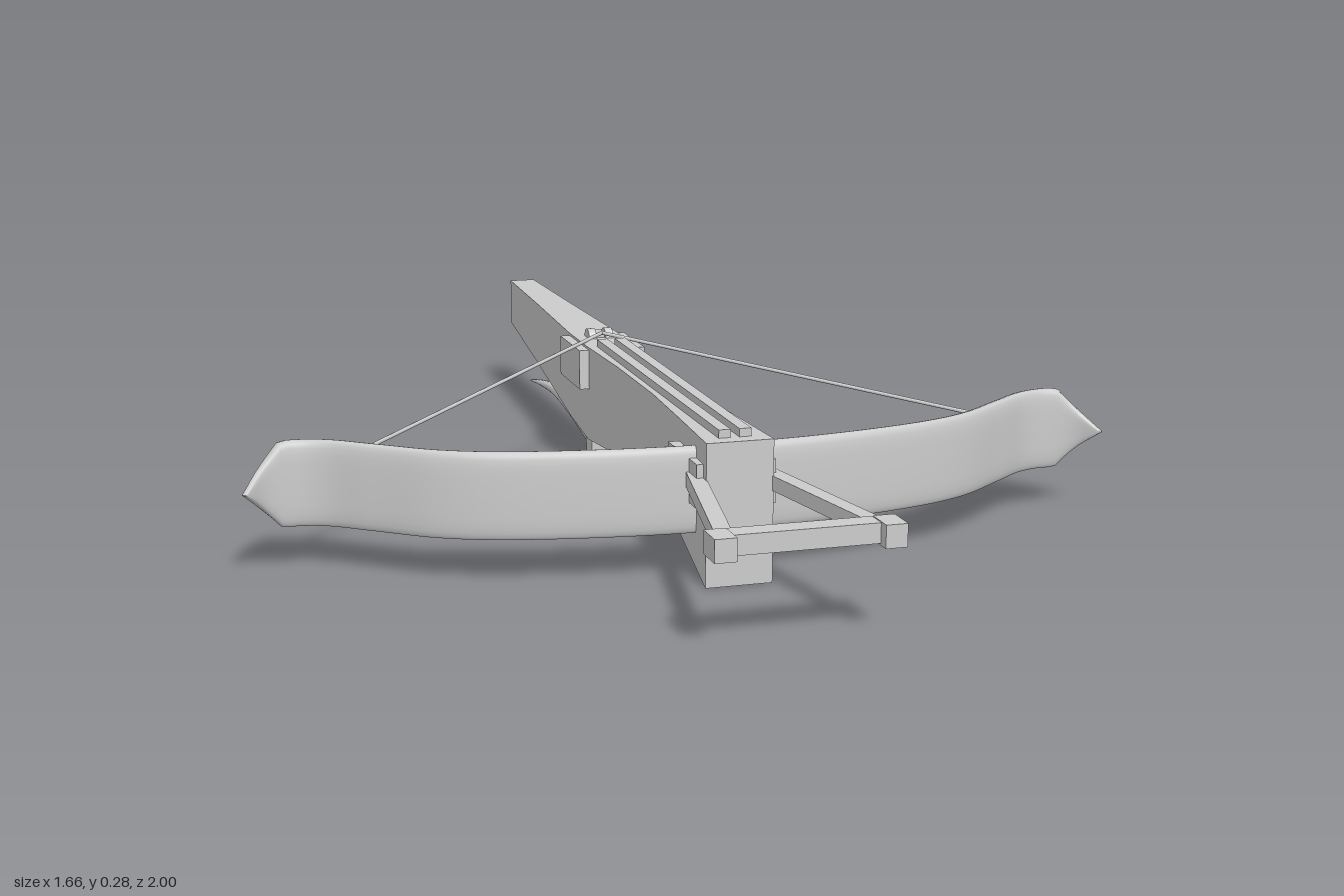
import * as THREE from 'three';

const grey = new THREE.MeshStandardMaterial({ color: 0xcccccc, side: THREE.DoubleSide });

function add(parent, name, geometry) {
  const mesh = new THREE.Mesh(geometry, grey);
  mesh.name = name;
  parent.add(mesh);
  return mesh;
}

// Box given by its min and max corners
function box(parent, name, [x0, y0, z0], [x1, y1, z1]) {
  const mesh = add(parent, name, new THREE.BoxGeometry(x1 - x0, y1 - y0, z1 - z0));
  mesh.position.set((x0 + x1) / 2, (y0 + y1) / 2, (z0 + z1) / 2);
  return mesh;
}

// Skin over rings of points, each counter-clockwise seen against the travel direction
function loft(rings, flat) {
  const n = rings[0].length, last = (rings.length - 1) * n, index = [];
  for (let i = 0; i < rings.length - 1; i++) {
    for (let j = 0; j < n; j++) {
      const a = i * n + j, b = i * n + (j + 1) % n;
      index.push(a, b, b + n, a, b + n, a + n);
    }
  }
  for (let j = 1; j < n - 1; j++) {
    index.push(0, j + 1, j, last, last + j, last + j + 1);
  }
  let geometry = new THREE.BufferGeometry().setFromPoints(rings.flat());
  geometry.setIndex(index);
  if (flat) geometry = geometry.toNonIndexed();
  geometry.computeVertexNormals();
  return geometry;
}

// Rounded rectangle outline as [u, v] pairs
function roundedOutline(halfU, halfV, power, n) {
  const soften = (c) => Math.sign(c) * Math.abs(c) ** power;
  return Array.from({ length: n }, (_, k) => {
    const a = (k / n) * Math.PI * 2;
    return [halfU * soften(Math.cos(a)), halfV * soften(Math.sin(a))];
  });
}

export function createModel() {
  const model = new THREE.Group();
  model.name = 'crossbow';

  // Stock: z, underside height, half width
  const stations = [
    [-1, 0.16, 0.028], [-0.7, 0.125, 0.037], [-0.35, 0.083, 0.05], [-0.2, 0.065, 0.05],
    [0, 0.08, 0.043], [0.25, 0.1, 0.043], [0.45, 0.05, 0.052], [0.64, 0, 0.062],
  ];
  add(model, 'stock', loft(stations.map(([z, y, w]) => [
    new THREE.Vector3(-w, y, z), new THREE.Vector3(w, y, z),
    new THREE.Vector3(w, 0.262, z), new THREE.Vector3(-w, 0.262, z),
  ]), true));

  // Side plates and bolt rails
  box(model, 'lockPlate', [-0.07, 0.175, -0.35], [0.07, 0.257, -0.19]);
  box(model, 'bowMount', [-0.073, 0.14, 0.45], [0.073, 0.22, 0.62]);
  for (const s of [-1, 1]) {
    const rail = box(model, 'boltRail', [-0.011, 0.255, -0.2], [0.011, 0.277, 0.61]);
    rail.position.x = s * 0.019;
  }

  // Bow: one recurved blade swept from tip to tip
  const half = [[0.2, 0.55], [0.4, 0.51], [0.5, 0.468], [0.6, 0.395],
    [0.68, 0.338], [0.74, 0.325], [0.79, 0.343], [0.828, 0.385]];
  const path = new THREE.CatmullRomCurve3([
    ...half.map(([x, z]) => new THREE.Vector3(-x, 0.16, z)).reverse(),
    new THREE.Vector3(0, 0.16, 0.563),
    ...half.map(([x, z]) => new THREE.Vector3(x, 0.16, z)),
  ]);
  const up = new THREE.Vector3(0, 1, 0);
  const bowRings = [];
  for (let i = 0; i <= 120; i++) {
    const p = path.getPointAt(i / 120);
    const side = up.clone().cross(path.getTangentAt(i / 120));
    const taper = Math.min(1, (0.829 - Math.abs(p.x)) / 0.072);
    bowRings.push(roundedOutline(0.005 + 0.009 * taper, 0.08 * taper, 0.55, 24).map(
      ([u, v]) => p.clone().addScaledVector(side, u).addScaledVector(up, v)));
  }
  add(model, 'bow', loft(bowRings, false));

  // String drawn back to the nut
  const nock = new THREE.Vector3(0, 0.275, -0.272);
  for (const s of [-1, 1]) {
    const line = new THREE.LineCurve3(new THREE.Vector3(s * 0.725, 0.16, 0.318), nock);
    add(model, 'string', new THREE.TubeGeometry(line, 1, 0.004, 8));
  }

  // Nut: slotted roller with a small catch behind it
  for (const s of [-1, 1]) {
    const roller = add(model, 'nut', new THREE.CylinderGeometry(0.021, 0.021, 0.016, 20));
    roller.rotation.z = Math.PI / 2;
    roller.position.set(s * 0.018, 0.26, -0.295);
  }
  box(model, 'catch', [-0.014, 0.25, -0.325], [0.014, 0.272, -0.285]);

  // Foot stirrup
  const stirrup = new THREE.Group();
  stirrup.name = 'stirrup';
  model.add(stirrup);
  box(stirrup, 'stirrupBar', [-0.162, 0.165, 0.937], [0.162, 0.2, 0.978]);
  for (const s of [-1, 1]) {
    const a = new THREE.Vector3(s * 0.062, 0.182, 0.57), b = new THREE.Vector3(s * 0.132, 0.182, 0.95);
    const arm = add(stirrup, 'stirrupArm', new THREE.BoxGeometry(0.03, 0.027, a.distanceTo(b)));
    arm.position.copy(a).lerp(b, 0.5);
    arm.lookAt(b);
    const foot = box(stirrup, 'stirrupFoot', [-0.019, 0.162, 0.942], [0.019, 0.202, 1]);
    foot.position.x = s * 0.145;
  }

  // Trigger: hanging block and a long curved lever
  box(model, 'triggerBlock', [-0.025, 0, -0.31], [0.025, 0.08, -0.262]);
  const lever = new THREE.CatmullRomCurve3([
    [0.034, -0.915], [0.052, -0.8], [0.066, -0.65], [0.06, -0.5], [0.039, -0.3],
  ].map(([y, z]) => new THREE.Vector3(0, y, z)));
  const leverRings = [];
  for (let i = 0; i <= 24; i++) {
    const p = lever.getPointAt(i / 24), grow = Math.sqrt(i / 24);
    leverRings.push(roundedOutline(0.002 + 0.02 * grow, 0.002 + 0.023 * (i / 24), 0.8, 16).map(
      ([u, v]) => new THREE.Vector3(u, p.y + v, p.z)));
  }
  add(model, 'triggerLever', loft(leverRings, false));

  return model;
}
